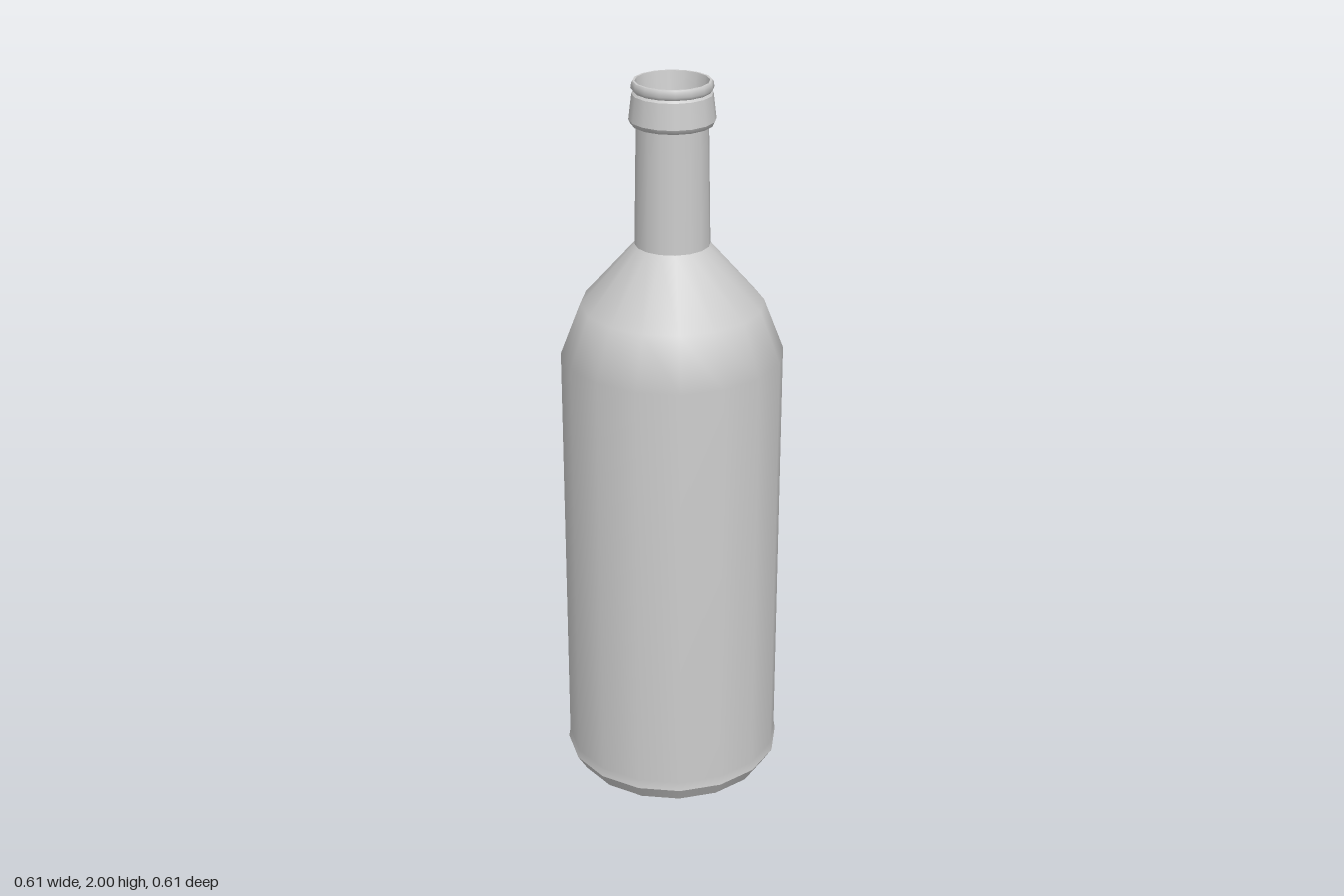
import * as THREE from 'three';

const SIDES = 16;

export function createModel() {
  const group = new THREE.Group();
  group.name = 'bottle';
  const material = new THREE.MeshStandardMaterial({ color: 0xcccccc });

  // Each profile is smooth within itself; seams between profiles stay sharp
  const addRing = (name, profile) => {
    const points = profile.map(([r, y]) => new THREE.Vector2(r, y));
    const mesh = new THREE.Mesh(new THREE.LatheGeometry(points, SIDES), material);
    mesh.name = name;
    group.add(mesh);
  };

  // Outside, from the base up
  addRing('base', [[0, 0], [0.275, 0]]);
  addRing('baseBevel', [[0.275, 0], [0.303, 0.045]]);
  addRing('bodyAndShoulder', [[0.303, 0.045], [0.299, 0.07], [0.299, 1.26], [0.245, 1.4], [0.1, 1.565]]);
  addRing('neck', [[0.1, 1.565], [0.094, 1.89]]);
  addRing('collarUnderside', [[0.094, 1.885], [0.107, 1.888], [0.113, 1.9]]);
  addRing('collar', [[0.113, 1.9], [0.105, 1.967]]);
  addRing('collarTop', [[0.105, 1.967], [0.1, 1.973]]);
  addRing('lip', [[0.1, 1.973], [0.107, 1.982], [0.105, 1.995], [0.102, 2]]);
  addRing('rim', [[0.102, 2], [0.096, 2]]);

  // Inside, from the mouth down
  addRing('mouth', [[0.096, 2], [0.08, 1.9]]);
  addRing('innerNeck', [[0.08, 1.9], [0.073, 1.565]]);
  addRing('innerWall', [[0.073, 1.565], [0.225, 1.385], [0.278, 1.25], [0.278, 0.05]]);
  addRing('innerFloor', [[0.278, 0.05], [0, 0.05]]);

  return group;
}
